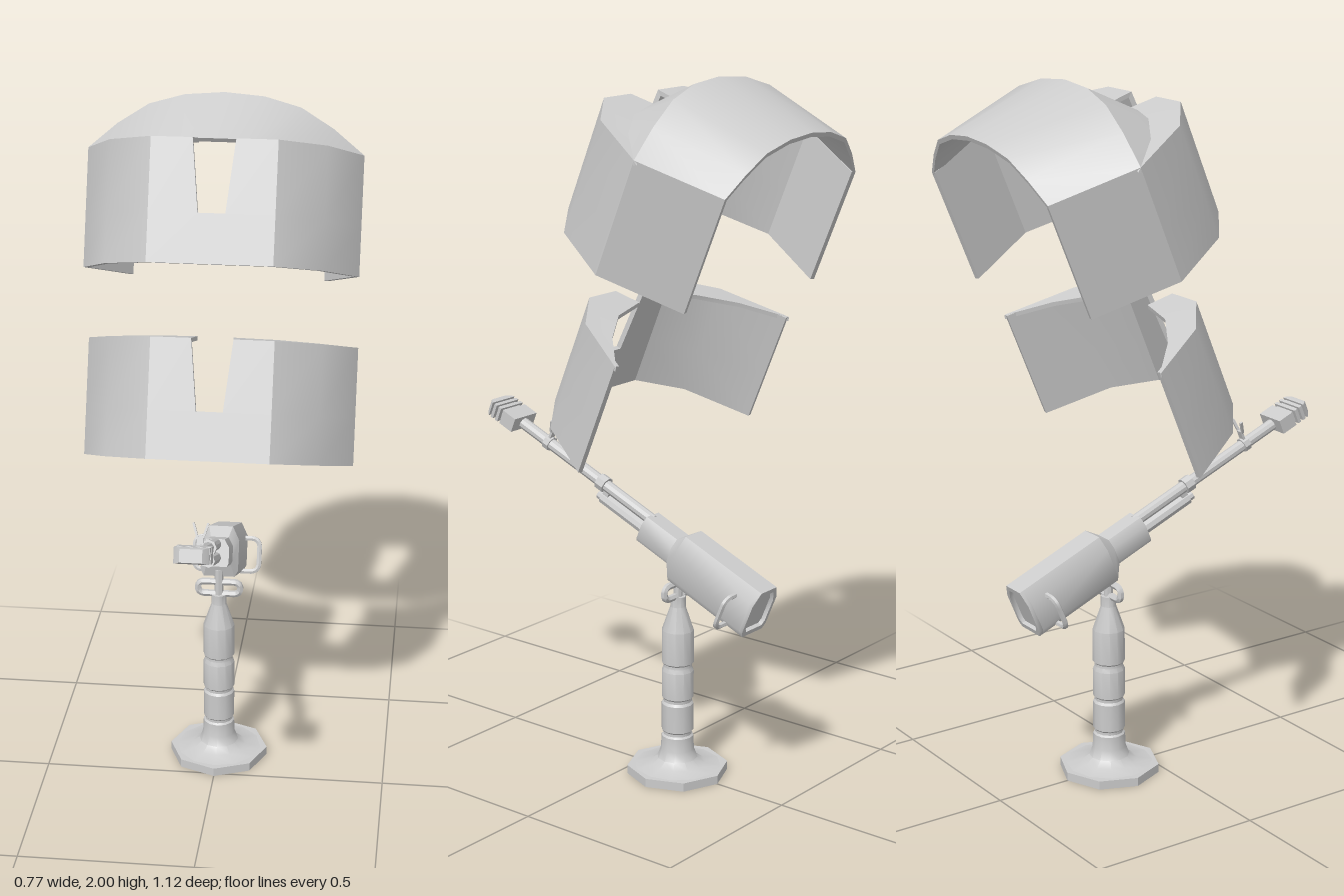
import * as THREE from 'three';
import { toCreasedNormals } from 'three/addons/utils/BufferGeometryUtils.js';
import { ConvexGeometry } from 'three/addons/geometries/ConvexGeometry.js';

const grey = new THREE.MeshStandardMaterial({ color: 0xcccccc, side: THREE.DoubleSide });
const TILT = -Math.PI / 8;

function add(parent, name, geometry, x = 0, y = 0, z = 0) {
  const mesh = new THREE.Mesh(toCreasedNormals(geometry, 0.6), grey);
  mesh.name = name;
  mesh.position.set(x, y, z);
  parent.add(mesh);
  return mesh;
}

function group(parent, name, y, z, tilt = 0) {
  const g = new THREE.Group();
  g.name = name;
  g.position.set(0, y, z);
  g.rotation.x = tilt;
  parent.add(g);
  return g;
}

// Closed plate between an outer and an inner grid of points [x, depth back, height]
function plate(outer, inner) {
  const pos = [];
  const quad = (a, b, c, d) => {
    for (const p of [a, b, c, a, c, d]) pos.push(p[0], p[2], -p[1]);
  };
  const R = outer.length - 1, C = outer[0].length - 1;
  for (let r = 0; r < R; r++) for (let c = 0; c < C; c++) {
    quad(outer[r][c], outer[r][c + 1], outer[r + 1][c + 1], outer[r + 1][c]);
    quad(inner[r][c], inner[r + 1][c], inner[r + 1][c + 1], inner[r][c + 1]);
  }
  const rim = [];
  for (let c = 0; c < C; c++) rim.push([0, c]);
  for (let r = 0; r < R; r++) rim.push([r, C]);
  for (let c = C; c > 0; c--) rim.push([R, c]);
  for (let r = R; r > 0; r--) rim.push([r, 0]);
  rim.forEach(([r, c], i) => {
    const [r2, c2] = rim[(i + 1) % rim.length];
    quad(inner[r][c], inner[r2][c2], outer[r2][c2], outer[r][c]);
  });
  const g = new THREE.BufferGeometry();
  g.setAttribute('position', new THREE.Float32BufferAttribute(pos, 3));
  return g;
}

const flip = row => row.map(([x, d, h]) => [-x, d, h]).reverse();
const whole = row => [...flip(row.slice(1)), ...row];
const shift = (grid, dd, dh) => grid.map(row => row.map(([x, d, h]) => [x, d + dd, h + dh]));

const H = 0.334, NOTCH = 0.135;
const lipEdge = [[0, 0.077, 0.342], [0.09, 0.085, 0.342], [0.17, 0.109, 0.341], [0.28, 0.185, 0.338], [0.385, 0.3, H]];

// Faceted wall with a sight notch and a narrow inward lip
function shield(parent, name, y, z, plan, inset) {
  const g = group(parent, name, y, z, TILT);
  const levels = [[0, 0.037], [NOTCH, 0.037], [H, 0.058]];
  const wall = (pts, d0) => levels.map(([h, slot]) => [[slot, d0, h], ...pts.map(([x, d]) => [x, d, h])]);
  const outer = wall(plan, 0), inner = wall(inset, 0.015);
  const lip = [
    [[0.058, 0, H], [0.17, 0, H], [0.295, 0.1, H], [0.385, plan[2][1], H]],
    [[0.05, 0.08, 0.342], lipEdge[2], lipEdge[3], [0.384, plan[2][1] + 0.004, H]],
  ];
  const under = shift(lip, 0.002, -0.012);
  add(g, 'leftWall', plate(outer, inner));
  add(g, 'rightWall', plate(outer.map(flip), inner.map(flip)));
  add(g, 'leftLip', plate(lip, under));
  add(g, 'rightLip', plate(lip.map(flip), under.map(flip)));
  const sill = [0, NOTCH].map(h => [[-0.037, 0, h], [0.037, 0, h]]);
  add(g, 'notchSill', plate(sill, shift(sill, 0.015, 0)));
  return g;
}

// Rounded rectangular loop of bar
function loopBar(w, h, corner, radius) {
  const pts = [];
  for (const [sx, sy, a] of [[1, 1, 0], [-1, 1, 1], [-1, -1, 2], [1, -1, 3]])
    for (let i = 0; i <= 3; i++) {
      const t = (a + i / 3) * Math.PI / 2;
      pts.push(new THREE.Vector3(sx * (w / 2 - corner) + corner * Math.cos(t), sy * (h / 2 - corner) + corner * Math.sin(t), 0));
    }
  const path = new THREE.CurvePath();
  pts.forEach((p, i) => path.add(new THREE.LineCurve3(p, pts[(i + 1) % pts.length])));
  return new THREE.TubeGeometry(path, 64, radius, 6, true);
}

const rod = (r, length, sides = 10) => new THREE.CylinderGeometry(r, r, length, sides).rotateX(Math.PI / 2);

// Convex body spanning [z, half-section] stations
function hull(stations) {
  const pts = [];
  for (const [z, section] of stations)
    for (const [x, y] of section) for (const s of [1, -1]) pts.push(new THREE.Vector3(s * x, y, z));
  return new ConvexGeometry(pts);
}

function buildGun(root) {
  const gun = group(root, 'gun', 0.6, -0.13, TILT);
  const big = [[0.045, -0.007], [0.055, 0.01], [0.055, 0.1], [0.035, 0.14]];
  const small = [[0.035, 0.03], [0.04, 0.04], [0.04, 0.085], [0.026, 0.109]];
  add(gun, 'receiver', hull([[-0.272, big], [0, big]]));
  add(gun, 'receiverNeck', hull([[0, big], [0.028, small]]));
  add(gun, 'receiverFront', hull([[0.028, small], [0.145, small]]));

  // Raised rim around the back panel
  const outline = k => [...big, ...big.map(([x, y]) => [-x, y]).reverse()]
    .map(([x, y]) => new THREE.Vector2(x * k, 0.066 + (y - 0.066) * k));
  const rim = new THREE.Shape(outline(1));
  rim.holes.push(new THREE.Path(outline(0.8)));
  add(gun, 'rearRim', new THREE.ExtrudeGeometry(rim, { depth: 0.013, bevelEnabled: false }), 0, 0, -0.284);

  // Barrel, gas tube and bands
  add(gun, 'barrel', rod(0.017, 0.55), 0, 0.094, 0.41);
  add(gun, 'gasTube', rod(0.018, 0.18, 8), 0, 0.055, 0.23);
  add(gun, 'gasTubeCap', rod(0.013, 0.02, 8), 0, 0.055, 0.326);
  add(gun, 'barrelBand', rod(0.024, 0.028, 8), 0, 0.094, 0.335);
  add(gun, 'bandLink', new THREE.BoxGeometry(0.02, 0.04, 0.02), 0, 0.075, 0.31);

  // Muzzle brake: solid rear block, ribs and bevelled nose
  const block = w => [[w, 0.074], [w, 0.118]];
  add(gun, 'brakeBlock', hull([[0.665, block(0.047)], [0.715, block(0.047)]]));
  add(gun, 'brakeCore', hull([[0.71, [[0.035, 0.08], [0.035, 0.112]]], [0.766, [[0.035, 0.08], [0.035, 0.112]]]]));
  for (const z of [0.724, 0.742]) add(gun, 'brakeRib', hull([[z, block(0.047)], [z + 0.01, block(0.047)]]));
  add(gun, 'brakeNose', hull([[0.759, block(0.047)], [0.764, block(0.044)], [0.778, [[0.03, 0.078], [0.03, 0.114]]]]));

  // Forked front sight
  add(gun, 'sightBand', rod(0.022, 0.02, 8), 0, 0.094, 0.556);
  add(gun, 'sightPost', new THREE.BoxGeometry(0.018, 0.03, 0.008), 0, 0.125, 0.556);
  for (const s of [1, -1])
    add(gun, 'sightProng', new THREE.BoxGeometry(0.006, 0.042, 0.008), s * 0.014, 0.153, 0.558).rotation.z = -s * 0.3;

  // Side grips
  for (const s of [1, -1])
    add(gun, s > 0 ? 'leftGrip' : 'rightGrip', loopBar(0.09, 0.1, 0.022, 0.008), s * 0.053, 0.046, -0.22);
}

function buildPedestal(root) {
  const stand = group(root, 'pedestal', 0, -0.13);
  add(stand, 'base', new THREE.CylinderGeometry(0.145, 0.145, 0.025, 8), 0, 0.0125, 0);
  const profile = [[0.125, 0.025], [0.08, 0.032], [0.058, 0.048], [0.048, 0.075], [0.046, 0.115]];
  for (const y of [0.12, 0.22, 0.325])
    profile.push([0.041, y], [0.041, y + 0.008], [0.046, y + 0.013], [0.046, y + (y > 0.3 ? 0.11 : 0.093)]);
  profile.push([0.022, 0.505], [0.022, 0.535], [0, 0.535]);
  add(stand, 'column', new THREE.LatheGeometry(profile.map(p => new THREE.Vector2(...p)), 12));
  // Swivel that carries the gun
  add(stand, 'yoke', loopBar(0.125, 0.038, 0.017, 0.01), 0, 0.555, 0);
  add(stand, 'swivelPin', new THREE.CylinderGeometry(0.013, 0.013, 0.09, 8), 0, 0.57, 0);
}

export function createModel() {
  const root = new THREE.Group();
  root.name = 'mountedGunWithShields';
  buildPedestal(root);
  buildGun(root);

  shield(root, 'lowerShield', 1.09, 0.175,
    [[0.17, 0], [0.295, 0.1], [0.385, 0.29]], [[0.165, 0.015], [0.284, 0.11], [0.371, 0.293]]);

  const upper = shield(root, 'upperShield', 1.635, 0.12,
    [[0.17, 0], [0.295, 0.1], [0.385, 0.3], [0.29, 0.533]],
    [[0.165, 0.015], [0.284, 0.11], [0.37, 0.3], [0.276, 0.53]]);

  // Visor slope and vaulted roof of the upper shield
  const crest = [[0, 0.21, 0.485], [0.11, 0.216, 0.477], [0.21, 0.236, 0.452], [0.3, 0.266, 0.4], [0.385, 0.3, H]];
  const rear = [[0, 0.533, 0.487], [0.09, 0.533, 0.478], [0.175, 0.533, 0.45], [0.235, 0.533, 0.397], [0.29, 0.533, H]];
  const visor = [lipEdge, crest].map(whole), roof = [crest, rear].map(whole);
  add(upper, 'visor', plate(visor, shift(visor, 0.012, -0.008)));
  add(upper, 'roof', plate(roof, shift(roof, 0, -0.013)));
  return root;
}
